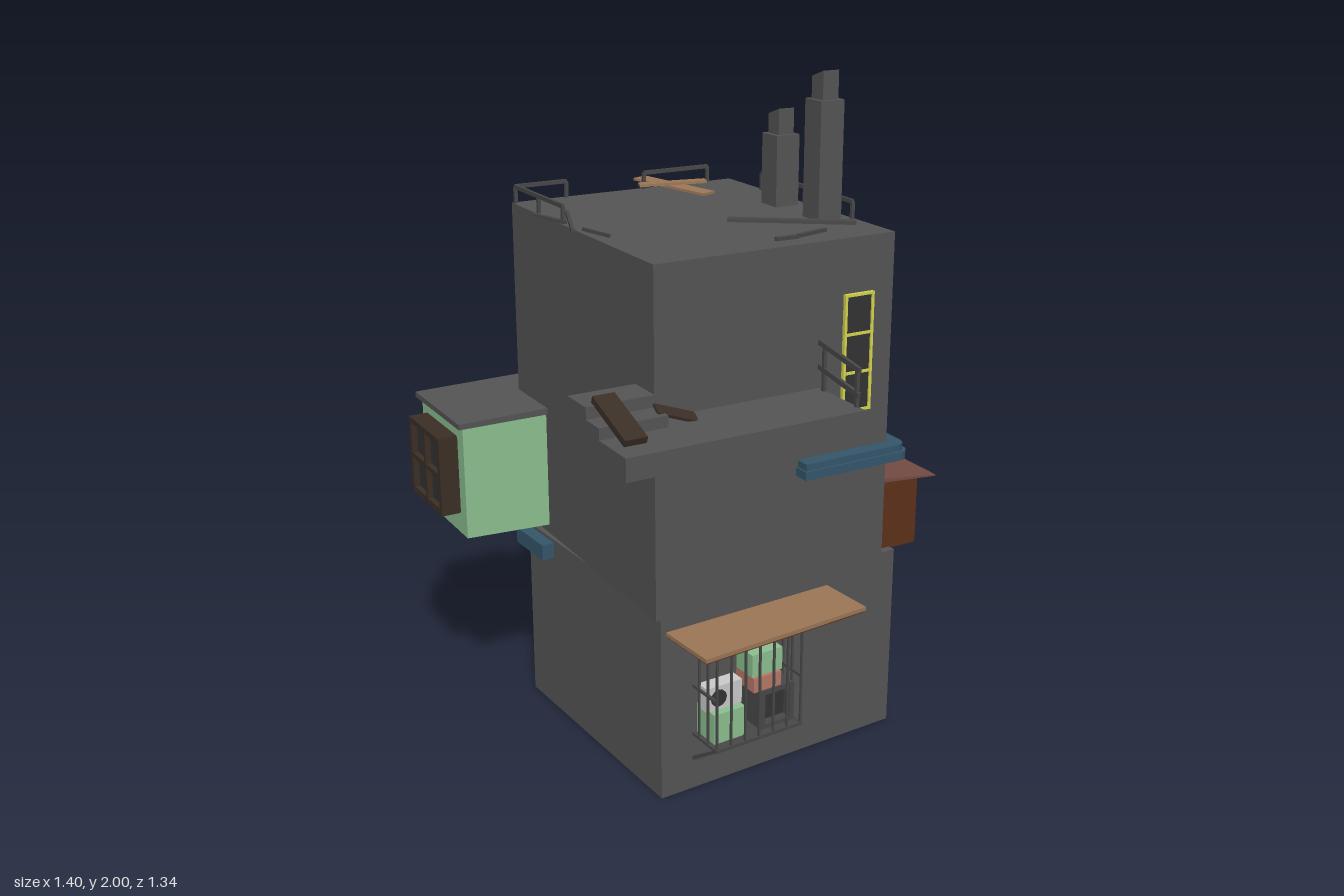
import * as THREE from 'three';

const C = { wall: 0x555555, dark: 0x333333, pale: 0xcccccc, green: 0x8cc090, red: 0x754c45, brown: 0x5c3019,
  tan: 0x9c7756, wood: 0x3b2f26, blue: 0x6f9fbf, teal: 0x35566b, yellow: 0xd6d650, pink: 0xb87868, rail: 0x484848 };
const mats = {};
const mat = c => mats[c] ??= new THREE.MeshStandardMaterial({ color: c, flatShading: true });
const V = (x, y, z) => new THREE.Vector3(x, y, z);

function add(parent, name, geo, color) {
  const m = new THREE.Mesh(geo, mat(color));
  m.name = name;
  parent.add(m);
  return m;
}
function group(parent, name, x = 0, y = 0, z = 0, ry = 0) {
  const g = new THREE.Group();
  g.name = name;
  g.position.set(x, y, z);
  g.rotation.y = ry;
  parent.add(g);
  return g;
}
// Box given by its extents
function box(p, name, x0, x1, y0, y1, z0, z1, color) {
  const m = add(p, name, new THREE.BoxGeometry(x1 - x0, y1 - y0, z1 - z0), color);
  m.position.set((x0 + x1) / 2, (y0 + y1) / 2, (z0 + z1) / 2);
  return m;
}
// Shift the top (side 1) or bottom (side -1) corners of a box by a slope
function slant(m, side, sx, sz) {
  const a = m.geometry.attributes.position;
  for (let i = 0; i < a.count; i++)
    if (a.getY(i) * side > 0) a.setY(i, a.getY(i) + sx * a.getX(i) + sz * a.getZ(i));
  m.geometry.computeVertexNormals();
  return m;
}
// Straight bar between two points
function beam(p, name, a, b, w, h, color) {
  const d = b.clone().sub(a);
  const m = add(p, name, new THREE.BoxGeometry(w, h, d.length()), color);
  m.position.copy(a).add(b).multiplyScalar(0.5);
  m.quaternion.setFromUnitVectors(V(0, 0, 1), d.normalize());
  return m;
}
// Window facing local +z: recessed pane, border and glazing bars
function win(p, name, x, y, z, ry, w, h, d, color, cols, rows, t = 0.015) {
  const g = group(p, name, x, y, z, ry);
  box(g, 'pane', -w / 2 + 0.002, w / 2 - 0.002, -h / 2 + 0.002, h / 2 - 0.002, -0.01, d * 0.7, C.dark);
  for (let i = 0; i <= cols; i++) {
    const c = (i / cols - 0.5) * (w - t);
    box(g, 'stile', c - t / 2, c + t / 2, -h / 2, h / 2, -0.01, d, color);
  }
  for (let i = 0; i <= rows; i++) {
    const c = (i / rows - 0.5) * (h - t);
    box(g, 'crossbar', -w / 2, w / 2, c - t / 2, c + t / 2, -0.01, d - 0.001, color);
  }
  if (d > 0.03) for (const s of [-1, 1]) {
    box(g, 'sidePanel', s * w / 2 - 0.004, s * w / 2 + 0.004, -h / 2, h / 2, -0.01, d, color);
    box(g, 'capPanel', -w / 2, w / 2, s * h / 2 - 0.004, s * h / 2 + 0.004, -0.01, d, color);
  }
}
function airUnit(p, x, y, z, ry, s = 1) {
  const g = group(p, 'airConditioner', x, y, z, ry);
  box(g, 'casing', -0.06, 0.06, -0.037, 0.037, 0, 0.045, C.pale);
  const f = add(g, 'fan', new THREE.CylinderGeometry(0.026, 0.026, 0.006, 12), C.dark);
  f.rotation.x = Math.PI / 2;
  f.position.set(-0.02, 0, 0.046);
  g.scale.setScalar(s);
}
function railing(p, a, b, y0, y1, n) {
  const g = group(p, 'railing');
  beam(g, 'handrail', V(a[0], y1, a[1]), V(b[0], y1, b[1]), 0.009, 0.012, C.rail);
  for (let i = 0; i <= n; i++) {
    const x = a[0] + (b[0] - a[0]) * i / n, z = a[1] + (b[1] - a[1]) * i / n;
    box(g, 'post', x - 0.005, x + 0.005, y0, y1, z - 0.005, z + 0.005, C.rail);
  }
}
// Ledge wrapping a corner at the local origin: a along -x, b along -z, depth d
function cornerLedge(p, x, y, z, ry, a, b, d, h) {
  const s = new THREE.Shape();
  s.moveTo(-a, 0.02).lineTo(-a, -d).lineTo(d - 0.04, -d);
  s.quadraticCurveTo(d, -d, d, -d + 0.04);
  s.lineTo(d, b).lineTo(-0.02, b).lineTo(-0.02, 0.02).closePath();
  const g = group(p, 'cornerLedge', x, y, z, ry);
  const m = add(g, 'ledge', new THREE.ExtrudeGeometry(s, { depth: h, bevelEnabled: false, curveSegments: 6 }), C.teal);
  m.rotation.x = -Math.PI / 2;
}
// Hanging cloth with a slight wave, facing +x
function cloth(p, x, y0, y1, z0, z1, color, wave) {
  const geo = new THREE.PlaneGeometry(z1 - z0, y1 - y0, 4, 4), a = geo.attributes.position;
  for (let i = 0; i < a.count; i++) a.setZ(i, wave * Math.sin(a.getX(i) * 60 + a.getY(i) * 30));
  geo.computeVertexNormals();
  const m = add(p, 'hangingCloth', geo, color);
  m.material = mat(color).clone();
  m.material.side = THREE.DoubleSide;
  m.rotation.y = Math.PI / 2;
  m.position.set(x, (y0 + y1) / 2, (z0 + z1) / 2);
  return m;
}
// Projecting stall facing local +x, with roof, parapet, window and air unit
function stall(p, name, x, z, ry, y0, y1, depth, w, color, inner) {
  const g = group(p, name, x, 0, z, ry), o = depth / 2, k = w / 2;
  box(g, 'body', -o, o - 0.03, y0, y1, -k, k, inner);
  box(g, 'parapet', o - 0.032, o, y0, y0 + 0.03, -k, k, color);
  box(g, 'lintel', o - 0.032, o, y1 - 0.025, y1, -k, k, color);
  for (const s of [-1, 1]) box(g, 'sideWall', -o, o, y0, y1, s * (k - 0.007) - 0.008, s * (k - 0.007) + 0.008, color);
  for (let i = 0; i < 3; i++) box(g, 'slat', o - 0.006, o + 0.002, y0 + 0.04 + i * 0.02, y0 + 0.047 + i * 0.02, -k, k, C.rail);
  win(g, 'stallWindow', o - 0.03, y1 - 0.08, k - 0.09, Math.PI / 2, 0.1, 0.1, 0.015, C.wood, 1, 1, 0.008);
  airUnit(g, o - 0.035, y1 - 0.045, -k + 0.06, Math.PI / 2, 0.65);
  const r = slant(box(g, 'stallRoof', -o, o + 0.05, y1, y1 + 0.014, -k - 0.025, k + 0.025, C.red), 1, -0.08, 0);
  slant(r, -1, -0.08, 0);
  return g;
}

export function createModel() {
  const root = new THREE.Group();
  root.name = 'stackedHouse';
  const H = Math.PI / 2;

  // Upper block
  box(root, 'upperBlock', -0.37, 0.39, 0.575, 1.58, -0.44, 0.445, C.wall);

  // Ground floor, turned slightly
  const low = group(root, 'groundFloor', 0.045, 0, 0.02, 0.054);
  box(low, 'lowerBlock', -0.415, 0.415, 0, 0.58, -0.39, 0.39, C.wall);
  box(low, 'lowerBay', 0.11, 0.475, 0.065, 0.435, -0.45, 0.115, C.red);
  slant(box(low, 'lowerBayRoof', 0.1, 0.495, 0.43, 0.452, -0.465, 0.128, C.wall), 1, 0, 0.015);
  for (const z of [-0.085, -0.16]) win(low, 'tallWindow', 0.475, 0.235, z - 0.03, H, 0.07, 0.21, 0.015, C.teal, 1, 3, 0.01);
  for (const z of [0.075, 0.0]) box(low, 'blueShutter', 0.47, 0.488, 0.14, 0.345, z - 0.035, z + 0.032, C.blue);
  airUnit(low, 0.3, 0.525, -0.39, Math.PI);
  for (const x of [0.25, 0.35]) box(low, 'unitBracket', x - 0.005, x + 0.005, 0.475, 0.487, -0.45, -0.38, C.rail);
  // Back door
  box(low, 'doorLeaf', -0.33, -0.1, 0.02, 0.38, -0.397, -0.38, C.wall);
  for (const x of [-0.345, -0.085]) box(low, 'doorJamb', x - 0.012, x + 0.012, 0.02, 0.395, -0.41, -0.38, C.wood);
  box(low, 'doorHead', -0.357, -0.073, 0.375, 0.4, -0.412, -0.38, C.wood);
  for (let i = 1; i < 6; i++) box(low, 'doorSlat', -0.33, -0.1, 0.02 + i * 0.06, 0.026 + i * 0.06, -0.401, -0.39, C.dark);
  cornerLedge(low, -0.415, 0.52, -0.39, Math.PI, 0.42, 0.16, 0.04, 0.05);

  // Front awning and caged balcony
  const cage = group(low, 'cagedBalcony', -0.045, 0, 0);
  const awn = group(cage, 'awning', -0.07, 0.518, 0.475, 0.03);
  box(awn, 'awningBoard', -0.28, 0.28, -0.004, 0.008, -0.1, 0.1, C.tan);
  box(awn, 'awningFrame', -0.275, 0.275, -0.01, -0.003, -0.095, 0.095, C.brown);
  for (let i = 0; i <= 6; i++) {
    const x = -0.262 + i * 0.0485;
    beam(cage, 'cageBar', V(x, 0.175, 0.51), V(x, 0.51, 0.51), 0.006, 0.006, C.rail);
  }
  for (const x of [-0.262, 0.029]) {
    for (const y of [0.18, 0.335, 0.5]) beam(cage, 'sideRail', V(x, y, 0.38), V(x, y, 0.51), 0.008, 0.008, C.rail);
    for (const z of [0.42, 0.465]) beam(cage, 'sideBar', V(x, 0.18, z), V(x, 0.5, z), 0.006, 0.006, C.rail);
    beam(cage, 'strut', V(x, 0.18, 0.51), V(x, 0.1, 0.39), 0.008, 0.008, C.rail);
  }
  for (const y of [0.18, 0.5]) box(cage, 'frontRail', -0.266, 0.033, y - 0.005, y + 0.005, 0.506, 0.515, C.rail);
  box(cage, 'footRail', -0.266, 0.033, 0.095, 0.107, 0.388, 0.4, C.rail);
  box(cage, 'cageFloor', -0.262, 0.029, 0.172, 0.182, 0.38, 0.51, C.rail);
  box(cage, 'greenCrate', -0.25, -0.145, 0.182, 0.275, 0.38, 0.48, C.green);
  airUnit(cage, -0.2, 0.312, 0.41, 0);
  box(cage, 'pinkCrate', -0.115, -0.02, 0.305, 0.35, 0.38, 0.48, C.pink);
  box(cage, 'upperGreenCrate', -0.115, -0.01, 0.35, 0.42, 0.38, 0.47, C.green);
  win(cage, 'washerBox', -0.035, 0.242, 0.385, 0, 0.11, 0.12, 0.1, C.rail, 1, 1, 0.012);

  // Corner stall with tilted roof and the brown side stall
  stall(root, 'cornerStall', 0.468, -0.43, 0.68, 0.105, 0.34, 0.24, 0.27, C.wall, C.dark);
  const side = stall(root, 'sideStall', 0.475, 0.22, 0, 0.575, 0.8, 0.2, 0.285, C.brown, C.brown);
  cloth(side, 0.115, 0.56, 0.655, 0.05, 0.11, C.tan, 0.008).rotation.z = 0.05;
  cloth(side, 0.122, 0.485, 0.655, -0.12, -0.02, C.green, 0.012).rotation.z = 0.08;

  // Green bay around the back left corner
  slant(box(root, 'greenBay', -0.64, 0.16, 0.603, 0.98, -0.568, -0.24, C.green), -1, -0.045, 0);
  slant(box(root, 'greenBayRoof', -0.655, 0.172, 0.972, 0.993, -0.585, -0.23, C.wall), 1, 0.01, 0);
  win(root, 'backBoxWindow', -0.46, 0.81, -0.568, Math.PI, 0.24, 0.24, 0.107, C.wood, 2, 2);
  win(root, 'leftBoxWindow', -0.64, 0.81, -0.41, -H, 0.24, 0.24, 0.06, C.wood, 2, 2);
  for (const x of [-0.16, -0.015]) win(root, 'tallWindow', x, 0.79, -0.568, Math.PI, 0.105, 0.33, 0.022, C.teal, 1, 3, 0.012);

  // Red bay around the back right corner
  slant(box(root, 'redBay', 0.12, 0.445, 1.065, 1.44, -0.485, 0.32, C.red), -1, 0, -0.03);
  box(root, 'redBayRoof', 0.11, 0.46, 1.435, 1.457, -0.502, 0.332, C.wall);
  win(root, 'rightBoxWindow', 0.445, 1.27, -0.31, H, 0.24, 0.24, 0.056, C.wood, 2, 2);
  win(root, 'backBoxWindow', 0.29, 1.27, -0.485, Math.PI, 0.24, 0.24, 0.047, C.wood, 2, 2);
  for (const z of [0.145, -0.005]) win(root, 'tallWindow', 0.445, 1.25, z, H, 0.105, 0.345, 0.024, C.teal, 1, 3, 0.012);
  cloth(root, 0.437, 0.94, 1.08, -0.155, -0.018, C.blue, 0.001);
  cloth(root, 0.437, 0.855, 1.09, -0.4, -0.18, C.blue, 0.001);

  // Ledge around the front right corner
  cornerLedge(root, 0.39, 0.917, 0.445, 0, 0.31, 0.445, 0.05, 0.026);
  cornerLedge(root, 0.39, 0.943, 0.445, 0, 0.305, 0.44, 0.043, 0.02);

  // Front left balcony with steps
  const bal = group(root, 'balcony');
  box(bal, 'slab', -0.57, 0.15, 1.1, 1.165, 0.44, 0.665, C.wall);
  box(bal, 'sideSlab', -0.57, -0.36, 1.1, 1.232, 0.34, 0.447, C.wall);
  box(bal, 'step', -0.57, -0.37, 1.16, 1.198, 0.44, 0.52, C.wall);
  beam(bal, 'darkPlank', V(-0.512, 1.245, 0.43), V(-0.512, 1.18, 0.61), 0.065, 0.02, C.wood);
  beam(bal, 'smallPlank', V(-0.385, 1.205, 0.48), V(-0.27, 1.165, 0.49), 0.045, 0.008, C.wood);
  for (const z of [0.475, 0.63]) box(bal, 'railPost', 0.14, 0.15, 1.1, 1.27 + (z < 0.5 ? 0.03 : 0), z - 0.005, z + 0.005, C.rail);
  for (const y of [1.2, 1.27]) beam(bal, 'balconyRail', V(0.145, y + 0.03, 0.45), V(0.145, y, 0.64), 0.01, 0.015, C.rail);

  // Yellow framed window
  win(root, 'yellowWindow', 0.272, 1.25, 0.44, 0, 0.097, 0.345, 0.016, C.yellow, 1, 3, 0.008);

  // Chimneys with open, sloping tops
  for (const [z, y, t] of [[0.195, 1.918, 1.99], [-0.027, 1.79, 1.857]]) {
    const g = group(root, 'chimney', 0.316, 0, z);
    box(g, 'stack', -0.039, 0.039, 1.57, y, -0.04, 0.04, C.wall);
    for (const s of [-1, 1]) {
      slant(box(g, 'flueSide', s * 0.021 - 0.005, s * 0.021 + 0.005, y, t, -0.028, 0.028, C.wall), 1, 0, 0.35);
      box(g, 'flueWall', -0.02, 0.02, y, t + s * 0.008, s * 0.023 - 0.005, s * 0.023 + 0.005, C.wall);
    }
  }

  // Roof railings, air unit and loose planks
  railing(root, [-0.362, -0.428], [-0.195, -0.428], 1.575, 1.63, 1);
  railing(root, [-0.362, -0.428], [-0.362, -0.1], 1.575, 1.63, 2);
  railing(root, [0.072, -0.428], [0.3, -0.428], 1.575, 1.63, 1);
  railing(root, [0.383, -0.235], [0.383, 0.25], 1.575, 1.63, 2);
  airUnit(root, -0.288, 1.527, -0.437, Math.PI);
  beam(root, 'tanPlank', V(0.095, 1.6, -0.5), V(0.185, 1.59, -0.22), 0.052, 0.008, C.tan);
  beam(root, 'tanPlank', V(0.04, 1.6, -0.4), V(0.24, 1.605, -0.335), 0.042, 0.008, C.tan);
  for (const [a, b, c, d, w] of [[-0.4, -0.22, -0.36, -0.09, 0.012], [-0.3, -0.205, -0.388, 0.015, 0.01],
    [-0.36, 0.02, -0.33, 0.125, 0.005], [0.05, 0.112, 0.35, 0.318, 0.026], [0.035, 0.388, 0.11, 0.383, 0.012], [0.11, 0.383, 0.222, 0.35, 0.012]])
    beam(root, 'looseBar', V(a, 1.588, b), V(c, 1.586, d), w, 0.01, C.rail);
  return root;
}
